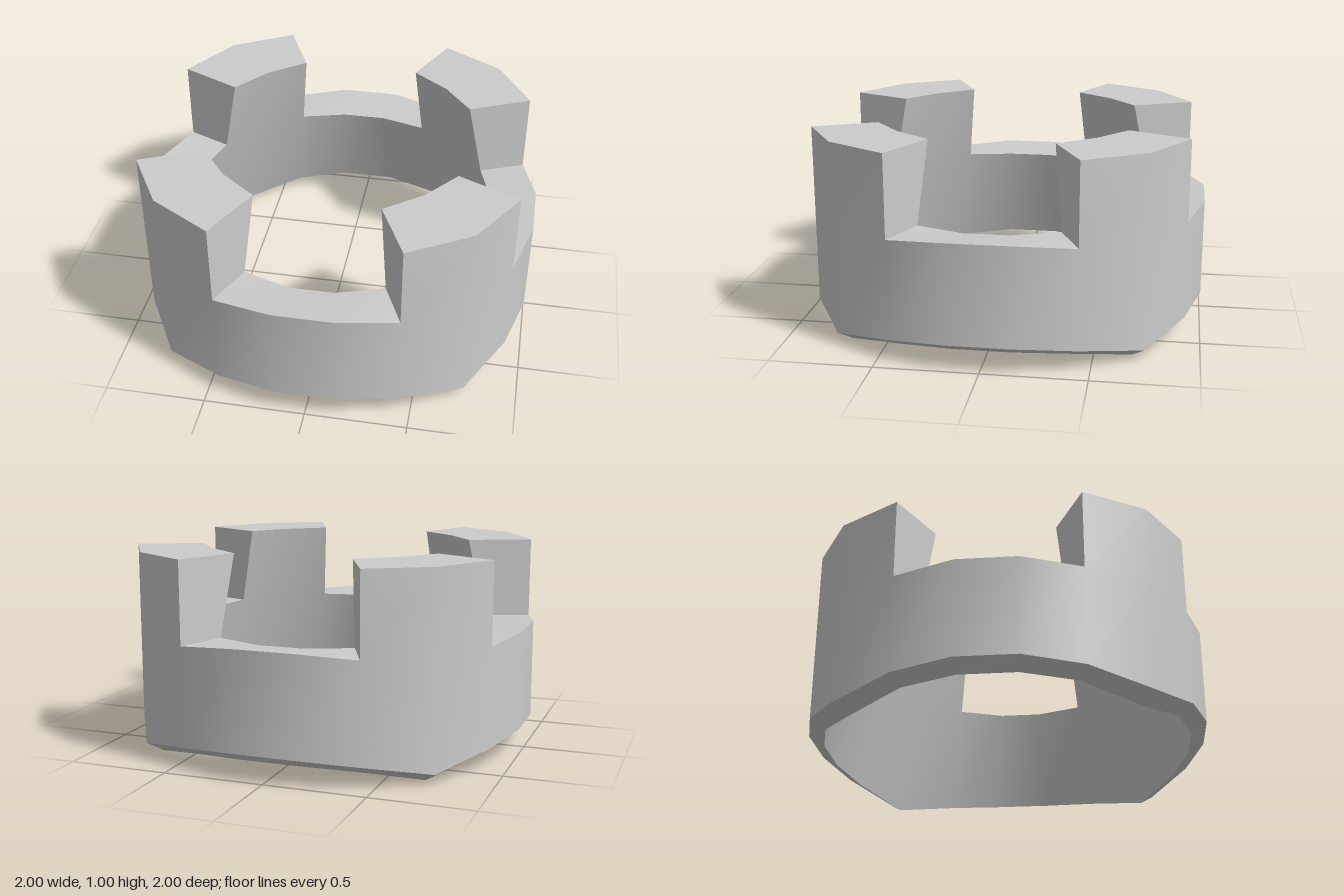
import * as THREE from 'three';
import { toCreasedNormals } from 'three/addons/utils/BufferGeometryUtils.js';

// One quarter of the ring: [x, z] of the outer wall, and [x, z, y] of the inner wall
// at its foot, at the ledge and at the merlon top. Mirrored about the diagonal.
const half = [
  { out: [0.15, 1], foot: [0.14, 0.92, 0.08], ledge: [0.11, 0.77, 0.595], top: [0.1, 0.69, 1], yFoot: 0.13, yLedge: 0.62 },
  { out: [0.44, 0.92], foot: [0.4, 0.85, 0.06], ledge: [0.34, 0.7, 0.6], top: [0.3, 0.62, 1], yFoot: 0.105, yLedge: 0.595 },
  { out: [0.74, 0.74], foot: [0.68, 0.68, 0], ledge: [0.56, 0.56, 0.6], top: [0.48, 0.48, 1], yFoot: 0.05, yLedge: 0.595 },
];
const TOP = 1;

// Corner points of the cross-section at column i (20 columns, 5 per quarter)
function column(i) {
  const k = i % 5, quarter = Math.floor(i / 5) % 4;
  const c = half[k < 3 ? k : 4 - k];
  const place = (x, z, y) => {
    if (k > 2) [x, z] = [z, x];
    for (let q = 0; q < quarter; q++) [x, z] = [z, -x];
    return [x, y, z];
  };
  return {
    outFoot: place(...c.out, c.yFoot), outLedge: place(...c.out, c.yLedge), outTop: place(...c.out, TOP),
    inFoot: place(...c.foot), inLedge: place(...c.ledge), inTop: place(...c.top),
  };
}

export function createModel() {
  const group = new THREE.Group();
  const points = [];
  const quad = (a, b, c, d) => points.push(...a, ...b, ...c, ...a, ...c, ...d);
  const parts = [];
  const endPart = (name) => {
    const start = parts.length ? parts[parts.length - 1].end : 0;
    parts.push({ name, start, end: points.length });
  };

  // Ring wall: outside, inside, sloping rim below, and ledge between the merlons
  for (let i = 0; i < 20; i++) {
    const a = column(i), b = column(i + 1);
    quad(a.outFoot, b.outFoot, b.outLedge, a.outLedge);
    quad(b.inFoot, a.inFoot, a.inLedge, b.inLedge);
    quad(a.inFoot, b.inFoot, b.outFoot, a.outFoot);
    const underMerlon = i % 5 === 1 || i % 5 === 2;
    if (!underMerlon) quad(a.outLedge, b.outLedge, b.inLedge, a.inLedge);
  }
  endPart('ringWall');

  // Four merlons on the diagonals
  ['frontLeft', 'backLeft', 'backRight', 'frontRight'].forEach((corner, q) => {
    for (let i = q * 5 + 1; i < q * 5 + 3; i++) {
      const a = column(i), b = column(i + 1);
      quad(a.outLedge, b.outLedge, b.outTop, a.outTop);
      quad(b.inLedge, a.inLedge, a.inTop, b.inTop);
      quad(a.outTop, b.outTop, b.inTop, a.inTop);
    }
    const s = column(q * 5 + 1), e = column(q * 5 + 3);
    quad(s.inLedge, s.outLedge, s.outTop, s.inTop);
    quad(e.outLedge, e.inLedge, e.inTop, e.outTop);
    endPart(corner + 'Merlon');
  });

  // Smooth everything together so that shading runs on from wall to merlon, then split
  let whole = new THREE.BufferGeometry();
  whole.setAttribute('position', new THREE.Float32BufferAttribute(points, 3));
  whole = toCreasedNormals(whole, Math.PI / 5);
  const material = new THREE.MeshStandardMaterial({ color: 0xcccccc });
  for (const { name, start, end } of parts) {
    const geometry = new THREE.BufferGeometry();
    for (const key of ['position', 'normal']) {
      geometry.setAttribute(key, new THREE.BufferAttribute(whole.getAttribute(key).array.slice(start, end), 3));
    }
    const mesh = new THREE.Mesh(geometry, material);
    mesh.name = name;
    group.add(mesh);
  }
  return group;
}
